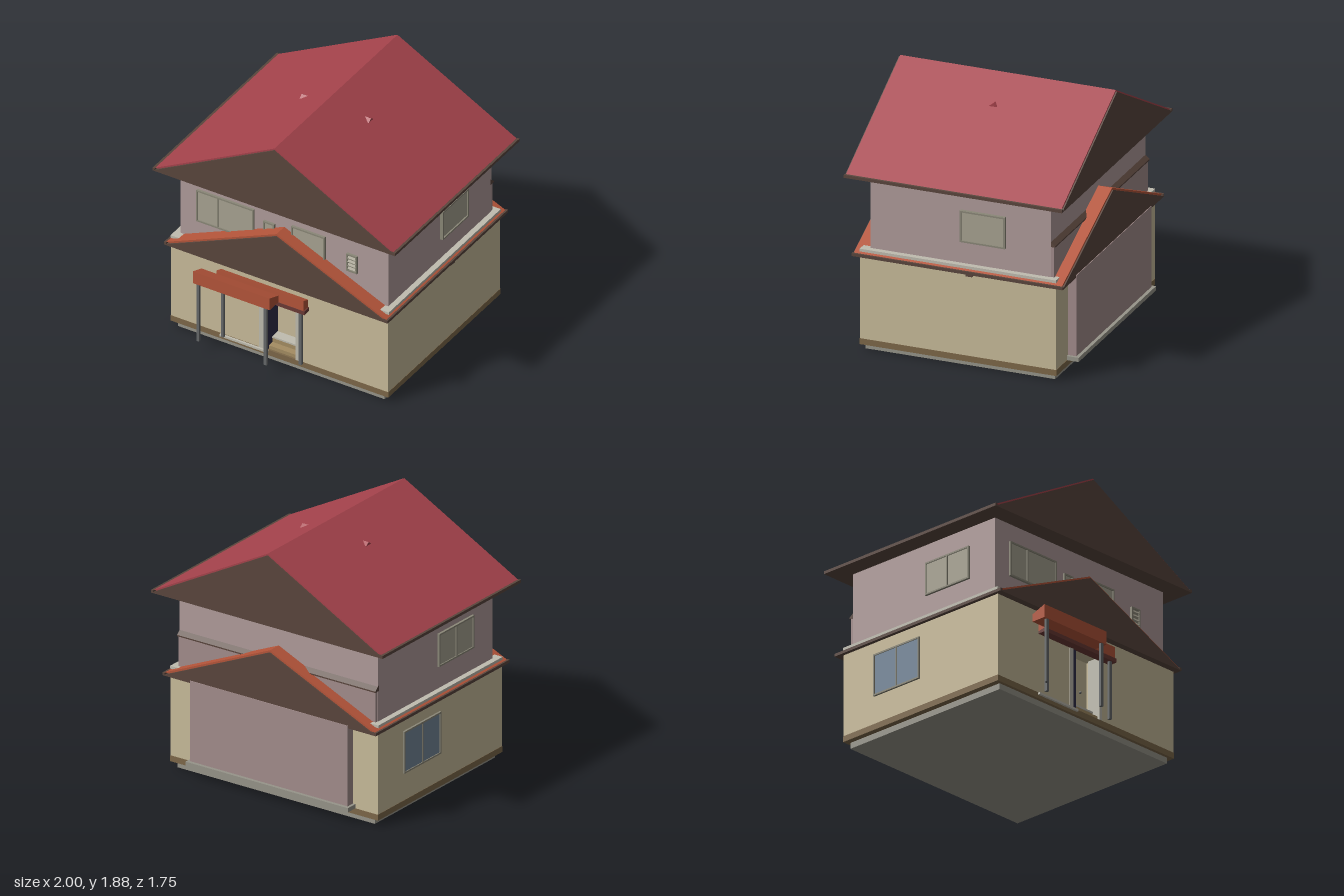
import * as THREE from 'three';

const C = {
  cream: 0xc9bc9b, trim: 0x7d6849, concrete: 0x97958a, pink: 0xb09c9b, bay: 0xa38d8c,
  brown: 0x5a463d, red: 0xa6434c, orange: 0xb5553a, pale: 0xc0bdb0, pane: 0xa8a392,
  frame: 0x8b8878, steel: 0x66696a, navy: 0x2e2c48, glass: 0x74879a, tan: 0xa58d63, beam: 0x6b3a35,
};
const mats = {};
const mat = (c) => (mats[c] ??= new THREE.MeshStandardMaterial({ color: C[c], flatShading: true }));

export function createModel() {
  const house = new THREE.Group();
  house.name = 'house';

  const add = (name, geo, color, parent = house) => {
    const m = new THREE.Mesh(geo, mat(color));
    m.name = name;
    parent.add(m);
    return m;
  };
  // Box given by its limits on each axis
  const box = (name, color, [x0, x1], [y0, y1], [z0, z1], parent) => {
    const g = new THREE.BoxGeometry(x1 - x0, y1 - y0, z1 - z0);
    g.translate((x0 + x1) / 2, (y0 + y1) / 2, (z0 + z1) / 2);
    return add(name, g, color, parent);
  };
  const shape = (pts) => new THREE.Shape(pts.map(([a, b]) => new THREE.Vector2(a, b)));
  // Profile in x,y swept along z
  const alongZ = (name, color, pts, z0, z1, parent) => {
    const g = new THREE.ExtrudeGeometry(shape(pts), { depth: z1 - z0, bevelEnabled: false });
    return add(name, g.translate(0, 0, z0), color, parent);
  };
  // Profile in z,y swept along x
  const alongX = (name, color, pts, x0, x1, parent) => {
    const g = new THREE.ExtrudeGeometry(shape(pts), { depth: x1 - x0, bevelEnabled: false });
    return add(name, g.rotateY(-Math.PI / 2).translate(x1, 0, 0), color, parent);
  };
  // Window facing +z at the origin, later turned onto its wall
  const makeWindow = (name, w, h, paneColor, splits = [], depth = 0.02) => {
    const g = new THREE.Group();
    g.name = name;
    const t = 0.012;
    box('pane', paneColor, [-w / 2 + t, w / 2 - t], [t, h - t], [-0.01, depth * 0.6], g);
    for (const s of [-1, 1]) {
      const x = s * (w / 2 - t / 2);
      box('frameSide', 'frame', [x - t / 2, x + t / 2], [0, h], [-0.01, depth], g);
    }
    for (const y of [0, h - t]) box('frameRail', 'frame', [-w / 2 + t, w / 2 - t], [y, y + t], [-0.01, depth], g);
    for (const x of splits) box('mullion', 'frame', [x - 0.005, x + 0.005], [t, h - t], [-0.01, depth], g);
    house.add(g);
    return g;
  };

  // Foundation and plinth band
  box('foundation', 'concrete', [-0.85, 0.85], [0, 0.05], [-0.76, 0.68]);
  box('plinthBand', 'trim', [-0.895, 0.895], [0.045, 0.09], [-0.787, 0.705]);

  // Ground floor with a notch for the entrance
  const plan = [[-0.893, 0.785], [0.893, 0.785], [0.893, -0.703], [0.15, -0.703], [0.15, -0.57],
    [-0.13, -0.57], [-0.13, -0.703], [-0.893, -0.703]];
  const ground = new THREE.ExtrudeGeometry(shape(plan), { depth: 0.635, bevelEnabled: false });
  add('groundFloorWalls', ground.rotateX(-Math.PI / 2).translate(0, 0.09, 0), 'cream');
  box('entranceLintel', 'cream', [-0.13, 0.15], [0.57, 0.725], [0.56, 0.703]);

  // Entrance details
  box('entranceJamb', 'pale', [-0.165, -0.13], [0.09, 0.57], [0.6, 0.709]);
  box('entranceJamb', 'pale', [0.135, 0.162], [0.09, 0.57], [0.6, 0.709]);
  box('sideDoor', 'navy', [-0.13, -0.097], [0.09, 0.57], [0.57, 0.703]);
  box('step', 'tan', [-0.097, 0.135], [0.09, 0.118], [0.56, 0.69]);
  box('step', 'tan', [-0.097, 0.135], [0.118, 0.155], [0.56, 0.64]);
  box('stepEdge', 'pale', [-0.097, 0.135], [0.155, 0.168], [0.56, 0.645]);
  const knob = add('doorKnob', new THREE.SphereGeometry(0.01, 8, 6), 'steel');
  knob.position.set(0.08, 0.32, 0.576);
  box('doorstep', 'pale', [-0.485, -0.09], [0.072, 0.088], [0.69, 0.722]);

  // Porch canopies, beam and posts
  alongX('frontCanopy', 'orange', [[0.88, 0.575], [0.88, 0.675], [0.765, 0.632], [0.765, 0.575]], -0.605, 0.027);
  alongX('rearCanopy', 'orange', [[0.765, 0.575], [0.765, 0.662], [0.7, 0.636], [0.7, 0.562]], -0.48, 0.235);
  box('canopyBeam', 'beam', [-0.48, 0.243], [0.545, 0.576], [0.7, 0.768]);
  for (const [x, z, y0, y1] of [[-0.568, 0.865, 0.09, 0.58], [-0.013, 0.865, 0.09, 0.58],
    [-0.44, 0.745, 0.1, 0.55], [0.2, 0.745, 0.1, 0.55]]) {
    box('porchPost', 'steel', [x - 0.011, x + 0.011], [y0, y1], [z - 0.011, z + 0.011]);
  }

  // Back bay with its sill
  box('backBay', 'bay', [-0.68, 0.68], [0.11, 0.735], [-0.85, -0.78]);
  box('backBaySill', 'concrete', [-0.7, 0.7], [0.09, 0.122], [-0.875, -0.78]);

  // Upper floor and the pale ledge around it
  box('ledge', 'pale', [-0.898, 0.898], [0.75, 0.771], [-0.785, 0.703]);
  box('upperFloorWalls', 'pink', [-0.855, 0.855], [0.72, 1.345], [-0.73, 0.64]);
  box('backPanel', 'bay', [-0.85, 0.85], [0.75, 1.01], [-0.752, -0.72]);
  alongX('backPanelCap', 'brown', [[-0.72, 1.0], [-0.72, 1.045], [-0.762, 1.01], [-0.762, 1.0]], -0.855, 0.855);

  // Gable roofs: a dark core with a coloured covering
  const roof = (name, color, core, cover, z0, z1) => {
    const g = new THREE.Group();
    g.name = name;
    const [cw, cy, ca] = core, [w, y, a] = cover;
    alongZ('gableCore', 'brown', [[-cw, cy], [cw, cy], [0, ca]], z0, z1, g);
    alongZ('covering', color, [[-w, y], [-w + 0.06, y], [0, a - 0.04], [w - 0.06, y], [w, y], [0, a]],
      z0 + 0.01, z1 - 0.01, g);
    // Dark eave boards
    for (const s of [-1, 1]) {
      const e = [s * (cw - 0.018), s * cw].sort((p, q) => p - q);
      box('eaveBoard', 'brown', e, [cy, cy + 0.022], [z0, z1], g);
    }
    house.add(g);
  };
  roof('lowerRoof', 'orange', [0.92, 0.715, 1.12], [0.905, 0.737, 1.135], -0.845, 0.755);
  roof('upperRoof', 'red', [0.998, 1.335, 1.87], [0.98, 1.358, 1.882], -0.873, 0.782);

  // Little roof vents, mirrored across the ridge
  for (const s of [-1, 1]) {
    const vent = new THREE.Group();
    vent.name = 'roofVent';
    alongX('ventHood', 'red', [[-0.03, 0], [0.03, 0], [0, 0.022]], -0.08, 0, vent);
    alongX('ventMouth', 'brown', [[-0.018, -0.014], [0.018, -0.014], [0.018, 0.001], [-0.018, 0.001]], -0.08, -0.008, vent);
    vent.position.set(s * 0.285, 1.734, -0.05);
    vent.rotation.y = s < 0 ? Math.PI : 0;
    house.add(vent);
  }

  // Upper front windows
  makeWindow('wideWindow', 0.47, 0.265, 'pane', [-0.06]).position.set(-0.48, 0.932, 0.638);
  makeWindow('smallWindow', 0.092, 0.16, 'pane').position.set(-0.12, 0.975, 0.638);
  makeWindow('frontWindow', 0.275, 0.24, 'pane').position.set(0.203, 0.936, 0.638);
  const louver = makeWindow('louverWindow', 0.086, 0.146, 'frame');
  louver.position.set(0.563, 0.963, 0.638);
  for (let i = 0; i < 4; i++) {
    const slat = box('slat', 'pane', [-0.033, 0.033], [-0.009, 0.009], [-0.002, 0.002], louver);
    slat.position.set(0, 0.028 + i * 0.03, 0.015);
    slat.rotation.x = -0.5;
  }

  // Side windows
  const right = makeWindow('rightWindow', 0.345, 0.238, 'pane', [], 0.026);
  right.position.set(0.855, 0.937, -0.218);
  right.rotation.y = Math.PI / 2;
  const left = makeWindow('leftWindow', 0.42, 0.25, 'pane', [0], 0.018);
  left.position.set(-0.855, 0.94, 0.19);
  left.rotation.y = -Math.PI / 2;
  const lower = makeWindow('groundWindow', 0.44, 0.32, 'glass', [0], 0.016);
  lower.position.set(-0.893, 0.3, -0.265);
  lower.rotation.y = -Math.PI / 2;

  // Small lamp under the right eave
  box('eaveLamp', 'brown', [0.88, 0.912], [0.698, 0.718], [-0.153, -0.107]);

  return house;
}
